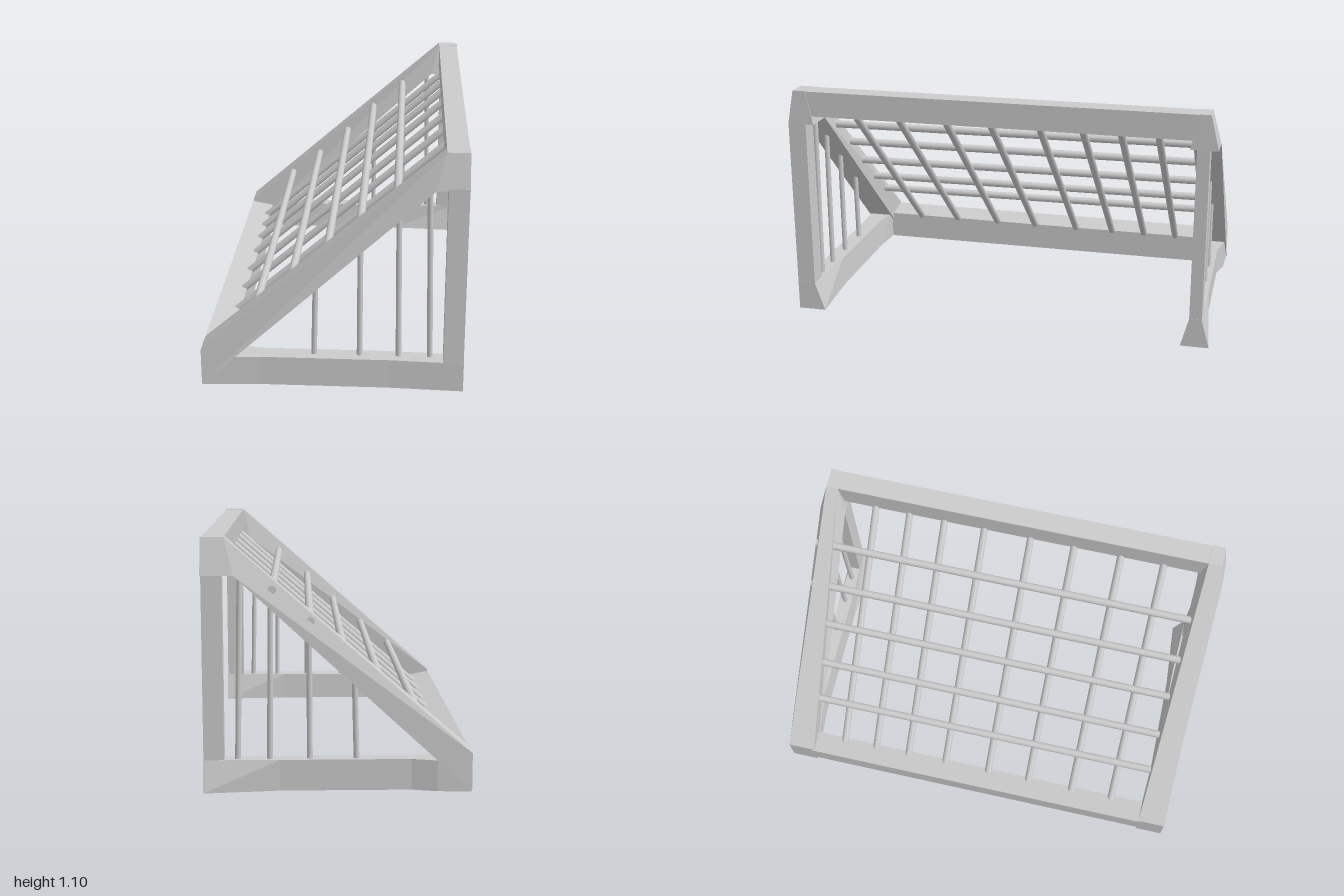
import * as THREE from 'three';

const material = new THREE.MeshStandardMaterial({ color: 0xcccccc, flatShading: true });
const smooth = new THREE.MeshStandardMaterial({ color: 0xcccccc });

// Timber from cross-sections [lower, upper]; each edge is [x, y, inner z, outer z].
// side is +1 for the front frame and -1 for the mirrored back frame.
function timber(name, side, sections) {
  const rings = sections.map(([a, b]) => [
    [a[0], a[1], a[2] * side], [a[0], a[1], a[3] * side],
    [b[0], b[1], b[3] * side], [b[0], b[1], b[2] * side],
  ]);
  const pos = [];
  const quad = (a, b, c, d) => {
    const [p, q, r, s] = side > 0 ? [a, b, c, d] : [d, c, b, a];
    pos.push(...p, ...q, ...r, ...p, ...r, ...s);
  };
  for (let i = 0; i < rings.length - 1; i++) {
    for (let j = 0; j < 4; j++) {
      const k = (j + 1) % 4;
      quad(rings[i][j], rings[i + 1][j], rings[i + 1][k], rings[i][k]);
    }
  }
  const first = rings[0], last = rings[rings.length - 1];
  quad(...first);
  quad(...[...last].reverse());
  const geo = new THREE.BufferGeometry();
  geo.setAttribute('position', new THREE.Float32BufferAttribute(pos, 3));
  geo.computeVertexNormals();
  const mesh = new THREE.Mesh(geo, material);
  mesh.name = name;
  return mesh;
}

// Round bar between two points
function rod(name, from, to, radius) {
  const a = new THREE.Vector3(...from), b = new THREE.Vector3(...to);
  const mesh = new THREE.Mesh(new THREE.CylinderGeometry(radius, radius, a.distanceTo(b), 12), smooth);
  mesh.position.copy(a).lerp(b, 0.5);
  mesh.quaternion.setFromUnitVectors(new THREE.Vector3(0, 1, 0), b.clone().sub(a).normalize());
  mesh.name = name;
  return mesh;
}

// Triangular end frame: sloped beam, bottom rail, post and upright bars
function sideFrame(side) {
  const frame = new THREE.Group();
  frame.name = side > 0 ? 'frontFrame' : 'backFrame';
  const topOut = side > 0 ? 0.97 : 0.96;
  const postIn = side > 0 ? 0.915 : 0.905;
  const postOut = side > 0 ? 1 : 0.962;
  const midOut = side > 0 ? 0.985 : 0.965;

  frame.add(timber('slopedBeam', side, [
    [[-0.58, 0, 0.87, 1], [-0.58, 0.17, 0.865, 0.998]],
    [[0.44, 0.94, 0.875, 1], [0.48, 1.1, 0.905, topOut]],
    [[0.58, 0.94, 0.875, 1], [0.578, 1.1, 0.91, topOut]],
  ]));
  frame.add(timber('bottomRail', side, [
    [[-0.575, 0, 0.872, 0.998], [-0.575, 0.005, 0.872, 0.998]],
    [[-0.43, 0, 0.88, 0.993], [-0.43, 0.137, 0.88, 0.993]],
    [[-0.32, 0, 0.89, midOut], [-0.32, 0.137, 0.9, midOut]],
    [[0.25, 0, 0.89, midOut], [0.25, 0.137, 0.9, midOut]],
    [[0.58, 0, 0.868, 1], [0.58, 0.137, postIn, postOut]],
  ]));
  frame.add(timber('post', side, [
    [[0.579, 0.13, postIn, postOut], [0.49, 0.13, postIn, postOut]],
    [[0.579, 0.95, postIn, postOut], [0.49, 0.95, postIn, postOut]],
  ]));
  // bottom x, top x, top y
  const bars = [[-0.083, -0.073, 0.5], [0.12, 0.122, 0.68], [0.293, 0.286, 0.84], [0.432, 0.415, 0.96]];
  for (const [x0, x1, y] of bars) {
    frame.add(rod('uprightBar', [x0, 0.11, 0.935 * side], [x1, y, 0.935 * side], 0.0125));
  }
  return frame;
}

// Long rail along z from an x/y profile
function crossRail(name, profile, length) {
  const shape = new THREE.Shape(profile.map(([x, y]) => new THREE.Vector2(x, y)));
  const geo = new THREE.ExtrudeGeometry(shape, { depth: length, bevelEnabled: false });
  geo.translate(0, 0, -length / 2);
  const mesh = new THREE.Mesh(geo, material);
  mesh.name = name;
  return mesh;
}

export function createModel() {
  const model = new THREE.Group();
  model.name = 'slopedRack';
  model.add(sideFrame(1), sideFrame(-1));

  // Rails joining the two end frames
  model.add(crossRail('topRail', [[0.48, 0.98], [0.576, 0.98], [0.576, 1.098], [0.48, 1.098]], 1.86));
  model.add(crossRail('lowerRail', [[-0.585, 0.05], [-0.47, 0], [-0.47, 0.135], [-0.583, 0.16]], 1.76));

  // Lattice: sloping bars below, long bars above
  for (const z of [0.705, 0.495, 0.265, 0.05, -0.18, -0.38, -0.555, -0.725]) {
    model.add(rod('slopingBar', [-0.485, 0.13, z], [0.5, 0.99, z], 0.0175));
  }
  const longBars = [[-0.345, 0.335, -0.93], [-0.19, 0.455, -0.93], [-0.03, 0.593, -0.94], [0.117, 0.735, -0.985], [0.278, 0.87, -0.985]];
  for (const [x, y, back] of longBars) {
    model.add(rod('longBar', [x, y - 0.006, 0.92], [x, y + 0.008, back], 0.0185));
  }
  return model;
}
